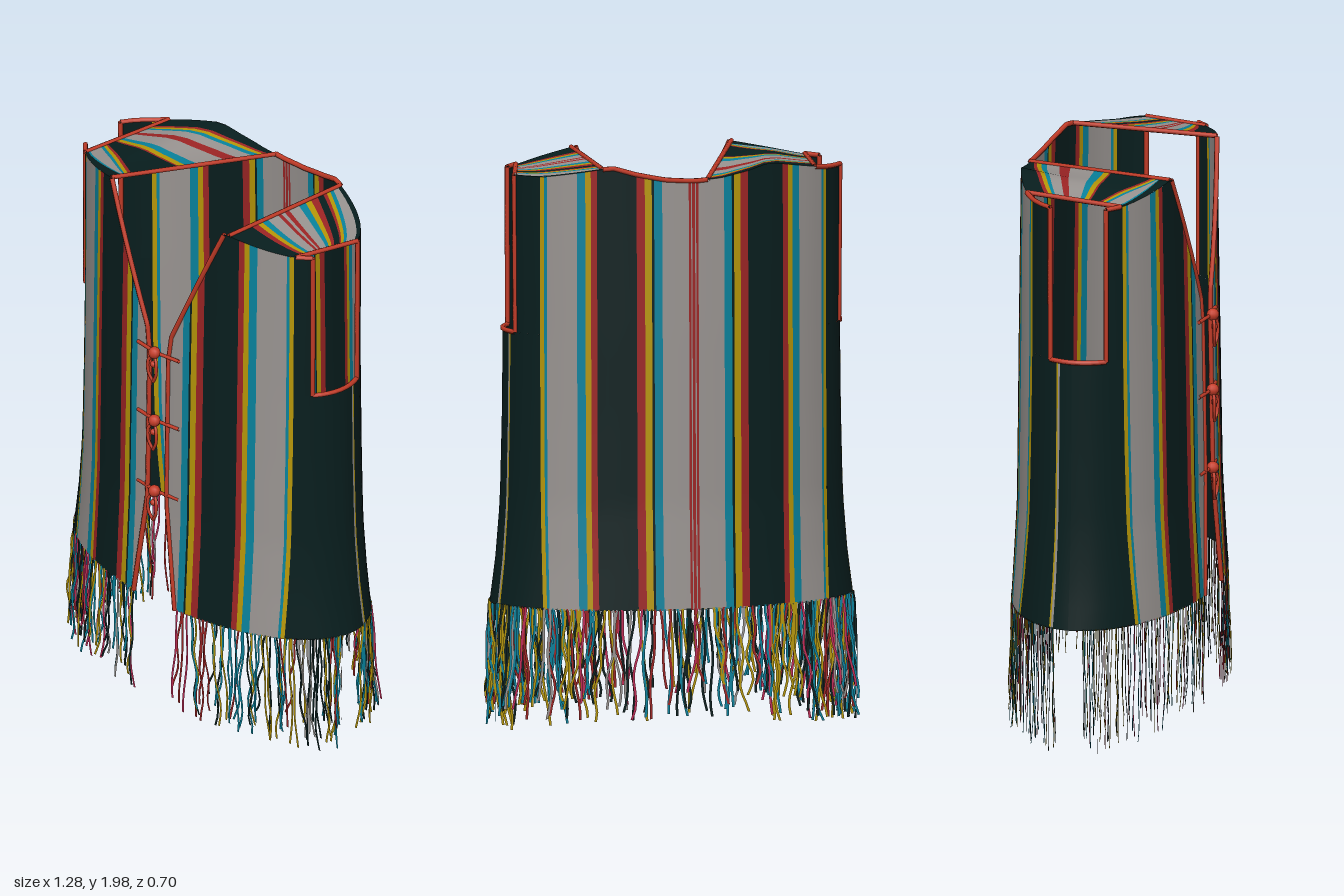
import * as THREE from 'three';
import { mergeGeometries } from 'three/addons/utils/BufferGeometryUtils.js';

const material = (name, color) => {
  const m = new THREE.MeshStandardMaterial({ color, side: THREE.DoubleSide });
  m.name = name;
  return m;
};
const lerp = THREE.MathUtils.lerp;

// Piecewise linear lookup
function along(points, v) {
  for (let i = 1; i < points.length; i++) {
    const [a, b] = [points[i - 1], points[i]];
    if (v <= b[0]) return lerp(a[1], b[1], Math.max(0, (v - a[0]) / (b[0] - a[0])));
  }
  return points[points.length - 1][1];
}

// Body outline: half width, front depth and back depth by height
const rx = y => along([[0.45, 0.64], [0.6, 0.62], [0.8, 0.604], [1.1, 0.597], [1.4, 0.594], [2, 0.6]], y);
const rz = (y, s) => s > 0
  ? along([[0.45, 0.335], [0.8, 0.318], [1.4, 0.308], [2, 0.295]], y)
  : along([[0.45, 0.345], [0.8, 0.328], [1.4, 0.322], [2, 0.312]], y);
const opening = y => along([[0.45, 0.1], [0.85, 0.046], [1.48, 0.046], [1.99, 0.275]], y);
const topY = (x, s) => {
  const a = Math.abs(x);
  if (a > 0.28) return along([[0.28, 1.988], [0.5, 1.95], [0.6, 1.945]], a);
  return s > 0 ? 1.988 : along([[0, 1.938], [0.1, 1.945], [0.2, 1.965], [0.28, 1.988]], a);
};
const onBody = (x, y, s) => new THREE.Vector3(x, y,
  s * rz(y, s) * Math.sqrt(Math.max(0, 1 - (x / rx(y)) ** 2)));
const ARM_Y = 1.4, HEM_Y = 0.45, SIDE_X = 0.508;
const armZ = { 1: 0.112, [-1]: 0.082 };
const armX = (y, s) => rx(y) * Math.sqrt(1 - (armZ[s] / rz(y, s)) ** 2);

// Surface grid from a rule p(u, v)
function grid(p, nu, nv) {
  const pos = [], idx = [];
  for (let j = 0; j <= nv; j++) for (let i = 0; i <= nu; i++) pos.push(...p(i / nu, j / nv).toArray());
  for (let j = 0; j < nv; j++) for (let i = 0; i < nu; i++) {
    const a = j * (nu + 1) + i, b = a + nu + 1;
    idx.push(a, a + 1, b, a + 1, b + 1, b);
  }
  const g = new THREE.BufferGeometry();
  g.setAttribute('position', new THREE.Float32BufferAttribute(pos, 3));
  g.setIndex(idx);
  g.computeVertexNormals();
  return g;
}

export function createModel() {
  const root = new THREE.Group();
  root.name = 'fringedVest';
  const mats = {
    dark: material('darkGreenCloth', 0x081e1e),
    grey: material('greyCloth', 0x999491),
    cyan: material('tealCloth', 0x08829c),
    yellow: material('mustardCloth', 0xb69608),
    red: material('redCloth', 0x9c2424),
    trim: material('redTrim', 0xc43c28),
    pink: material('pinkThread', 0xc02c58),
  };
  const add = (name, geo, mat, parent = root) => {
    const m = new THREE.Mesh(geo, mats[mat]);
    m.name = name;
    parent.add(m);
    return m;
  };
  const tube = (name, pts, r = 0.009, parent = root, curved = false) => {
    const path = curved ? new THREE.CatmullRomCurve3(pts) : new THREE.CurvePath();
    if (!curved) for (let i = 1; i < pts.length; i++) path.add(new THREE.LineCurve3(pts[i - 1], pts[i]));
    return add(name, new THREE.TubeGeometry(path, pts.length * 6, r, 6), 'trim', parent);
  };

  // Striped cloth: colour and outer edge of each stripe, from the middle outwards
  const stripes = [['red', 0.005], ['grey', 0.009], ['red', 0.017], ['grey', 0.11], ['cyan', 0.138],
    ['dark', 0.146], ['yellow', 0.17], ['red', 0.198], ['dark', 0.33], ['red', 0.35], ['yellow', 0.368],
    ['cyan', 0.395], ['grey', 0.488], ['cyan', 0.496], ['yellow', SIDE_X]];
  for (const s of [1, -1]) for (const m of [1, -1]) {
    const panel = new THREE.Group();
    panel.name = (s > 0 ? 'front' : 'back') + (m > 0 ? 'Left' : 'Right') + 'Panel';
    root.add(panel);
    let x0 = 0;
    for (const [color, x1] of stripes) {
      const a = x0;
      x0 = x1;
      if (s > 0 && x1 < 0.05) continue;
      const p = (u, v) => {
        const x = lerp(a, x1, u), y = lerp(HEM_Y, topY(x, s), v);
        return onBody(m * (s > 0 ? Math.max(x, opening(y)) : x), y, s);
      };
      add(color + 'Stripe', grid(p, x1 - a > 0.05 ? 4 : 1, 30), color, panel);
    }
    // Side cloth below and beside the armhole, with a narrow seam stripe behind
    const side = (u, y, endX) => {
      const t = lerp(Math.asin(SIDE_X / rx(y)), Math.asin(endX / rx(y)), u);
      return new THREE.Vector3(m * rx(y) * Math.sin(t), y, s * rz(y, s) * Math.cos(t));
    };
    const lower = (u0, u1) => (u, v) => {
      const y = lerp(HEM_Y, ARM_Y, v);
      return side(lerp(u0, u1, u), y, rx(y));
    };
    const parts = s > 0 ? [['dark', 0, 1]]
      : [['dark', 0, 0.68], ['yellow', 0.68, 0.71], ['grey', 0.71, 0.75], ['dark', 0.75, 1]];
    for (const [c, u0, u1] of parts) add(c + 'Side', grid(lower(u0, u1), 6, 12), c, panel);
    add('armholeSide', grid((u, v) => {
      const y = lerp(ARM_Y, topY(SIDE_X, s), v);
      return side(u, y, armX(y, s));
    }, 3, 8), 'dark', panel);
  }

  // Shoulders: colour, band end at the neck and at the arm, running back to front
  const shoulders = [
    { name: 'leftShoulder', back: [0.31, 0.578], front: [0.29, 0.513], bands: [
      ['dark', 0.03, 0.06], ['grey', 0.07, 0.2], ['cyan', 0.1, 0.24], ['yellow', 0.13, 0.28], ['red', 0.16, 0.3],
      ['dark', 0.21, 0.38], ['red', 0.27, 0.42], ['yellow', 0.32, 0.46], ['cyan', 0.38, 0.5], ['grey', 0.47, 0.58],
      ['red', 0.51, 0.61], ['grey', 0.54, 0.63], ['red', 0.57, 0.66], ['grey', 0.66, 0.75], ['cyan', 0.71, 0.79],
      ['yellow', 0.75, 0.83], ['red', 0.8, 0.87], ['dark', 1, 1]] },
    { name: 'rightShoulder', back: [-0.05, -0.46], front: [-0.28, -0.513], bands: [
      ['dark', 0.03, 0.2], ['red', 0.05, 0.24], ['yellow', 0.08, 0.28], ['cyan', 0.12, 0.31], ['grey', 0.21, 0.4],
      ['red', 0.29, 0.45], ['grey', 0.46, 0.56], ['cyan', 0.53, 0.6], ['yellow', 0.57, 0.64], ['red', 0.58, 0.66],
      ['dark', 0.87, 0.74], ['red', 0.89, 0.76], ['yellow', 0.91, 0.79], ['cyan', 0.92, 0.82], ['grey', 0.92, 0.95],
      ['cyan', 0.925, 0.97], ['dark', 1, 1]] },
  ];
  for (const { name, back, front, bands } of shoulders) {
    const g = new THREE.Group();
    g.name = name;
    root.add(g);
    const at = (a, t) => {
      const xb = lerp(...back, a), xf = lerp(...front, a);
      return onBody(xb, topY(xb, -1), -1).lerp(onBody(xf, topY(xf, 1), 1), t);
    };
    let last = [0, 0];
    for (const [color, n, o] of bands) {
      const [n0, o0] = last;
      last = [n, o];
      add(color + 'Band', grid((a, v) => at(a, lerp(lerp(n0, o0, a), lerp(n, o, a), v)), 8, 2), color, g);
    }
    for (const a of [0, 1]) tube(a ? 'armEdgeTrim' : 'neckEdgeTrim', [at(a, 0), at(a, 1)], 0.009, g);
  }

  // Trim along the front opening, neckline and armholes
  const steps = (n, f) => Array.from({ length: n + 1 }, (_, i) => f(i / n));
  const topEdge = (x, s) => onBody(x, topY(x, s), s);
  for (const m of [1, -1]) {
    tube('frontEdgeTrim', steps(16, t => {
      const y = lerp(HEM_Y, 1.988, t);
      return onBody(m * opening(y), y, 1);
    }));
    for (const s of [1, -1]) {
      tube('armholeTrim', steps(5, t => {
        const y = lerp(ARM_Y, 1.947, t);
        return onBody(m * armX(y, s), y, s);
      }));
    }
    tube('armholeBottomTrim', steps(8, t => {
      const z = lerp(-armZ[-1], armZ[1], t), r = rz(ARM_Y, Math.sign(z) || 1);
      return new THREE.Vector3(m * rx(ARM_Y) * Math.sqrt(1 - (z / r) ** 2), ARM_Y, z);
    }));
    tube('armFrontTopTrim', steps(3, t => topEdge(m * lerp(0.513, armX(1.947, 1), t), 1)));
  }
  tube('backNeckTrim', steps(10, t => topEdge(lerp(-0.05, 0.31, t), -1)));
  tube('rightArmTopTrim', steps(5, t => topEdge(lerp(-0.46, -armX(1.947, -1), t), -1)));

  // Knotted cord closures
  for (const y of [1.43, 1.16, 0.88]) {
    const c = new THREE.Group();
    c.name = 'cordClosure';
    c.position.y = y;
    root.add(c);
    const z = 0.318;
    tube('crossCord', [[-0.1, 0, z - 0.008], [0, 0, z + 0.004], [0.1, 0, z - 0.008]].map(p => new THREE.Vector3(...p)), 0.007, c);
    add('knot', new THREE.SphereGeometry(0.022, 10, 8), 'trim', c).position.set(0, 0.003, 0.33);
    for (const m of [1, -1]) {
      tube('loop', [[0, 0, 0.33], [m * 0.019, -0.03, 0.341], [m * 0.018, -0.075, 0.341], [0, -0.11, 0.336]]
        .map(p => new THREE.Vector3(...p)), 0.006, c, true);
    }
    add('lowerKnot', new THREE.SphereGeometry(0.012, 8, 6), 'trim', c).position.set(0, -0.04, 0.335);
  }

  // Fringe: flat wavy threads hanging from the hem
  let seed = 11;
  const rand = () => (seed = (seed * 16807) % 2147483647) / 2147483647;
  const threads = { dark: [], yellow: [], cyan: [], red: [], grey: [], pink: [] };
  const choice = ['dark', 'yellow', 'cyan', 'dark', 'yellow', 'cyan', 'red', 'pink', 'grey', 'dark', 'yellow', 'cyan'];
  const COUNT = 300;
  for (let i = 0; i < COUNT; i++) {
    const a = (i + rand()) / COUNT * Math.PI * 2, s = Math.cos(a) > 0 ? 1 : -1;
    const start = onBody(0.632 * Math.sin(a), HEM_Y, s);
    if (s > 0 && Math.abs(start.x) < 0.1) continue;
    const end = 0.01 + rand() * 0.13 + 0.06 * (1 - Math.abs(start.x) / 0.64);
    const drift = (rand() - 0.5) * 0.09, phase = rand() * 6.3, wave = 0.005 + rand() * 0.009, turns = 5 + rand() * 9;
    const g = grid((u, v) => {
      const x = start.x + drift * v + wave * v ** 0.5 * Math.sin(phase + turns * v) + (u - 0.5) * 0.009;
      return new THREE.Vector3(THREE.MathUtils.clamp(x, -0.64, 0.64), lerp(HEM_Y + 0.005, end, v), start.z);
    }, 1, 12);
    threads[choice[Math.floor(rand() * choice.length)]].push(g);
  }
  for (const [color, list] of Object.entries(threads)) {
    if (list.length) add(color + 'Fringe', mergeGeometries(list), color);
  }
  return root;
}
